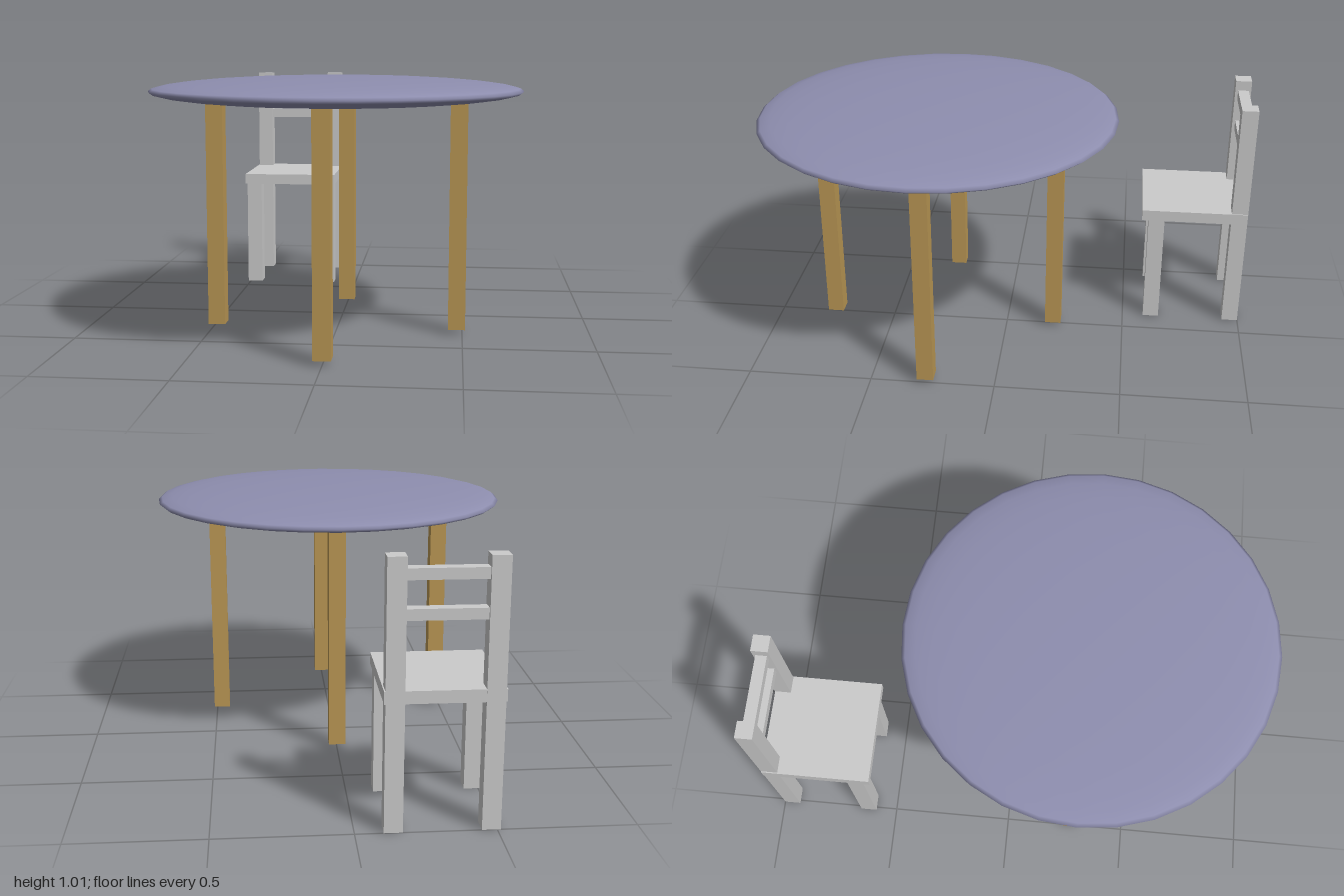
import * as THREE from 'three';

const grey = new THREE.MeshStandardMaterial({ color: 0xcccccc });
const wood = new THREE.MeshStandardMaterial({ color: 0xba9754 });
const blue = new THREE.MeshStandardMaterial({ color: 0x8e8eaf });

// Box given by its centre in x and z, its bottom and top in y, and its width and depth
function post(name, material, x, z, bottom, top, width, depth) {
  const mesh = new THREE.Mesh(new THREE.BoxGeometry(width, top - bottom, depth), material);
  mesh.name = name;
  mesh.position.set(x, (bottom + top) / 2, z);
  return mesh;
}

function createTable() {
  const table = new THREE.Group();
  table.name = 'table';
  table.position.z = 0.277;

  // Lens-shaped top
  const top = new THREE.Mesh(new THREE.SphereGeometry(0.723, 32, 16).scale(1, 0.055 / 0.723, 1), blue);
  top.name = 'tableTop';
  top.position.y = 0.956;
  table.add(top);

  // Four square legs set in a diamond
  const reach = 0.478;
  for (const [x, z] of [[reach, 0], [-reach, 0], [0, reach], [0, -reach]]) {
    table.add(post('tableLeg', wood, x, z, 0.02, 0.93, 0.067, 0.067));
  }
  return table;
}

function createChair() {
  const chair = new THREE.Group();
  chair.name = 'chair';
  chair.position.x = -0.307;

  chair.add(post('seat', grey, 0, -0.78, 0.472, 0.518, 0.42, 0.437));

  // Front legs, and back legs that run up as the back posts
  for (const side of [-1, 1]) {
    chair.add(post('frontLeg', grey, side * 0.172, -0.623, 0, 0.48, 0.067, 0.067));
    chair.add(post('backPost', grey, side * 0.172, -0.9665, 0, 0.98, 0.067, 0.067));
  }

  // Two rails between the back posts
  for (const y of [0.76, 0.898]) {
    chair.add(post('backRail', grey, 0, -0.967, y, y + 0.04, 0.3, 0.045));
  }
  return chair;
}

export function createModel() {
  const model = new THREE.Group();
  model.name = 'tableAndChair';
  model.add(createTable(), createChair());
  return model;
}
